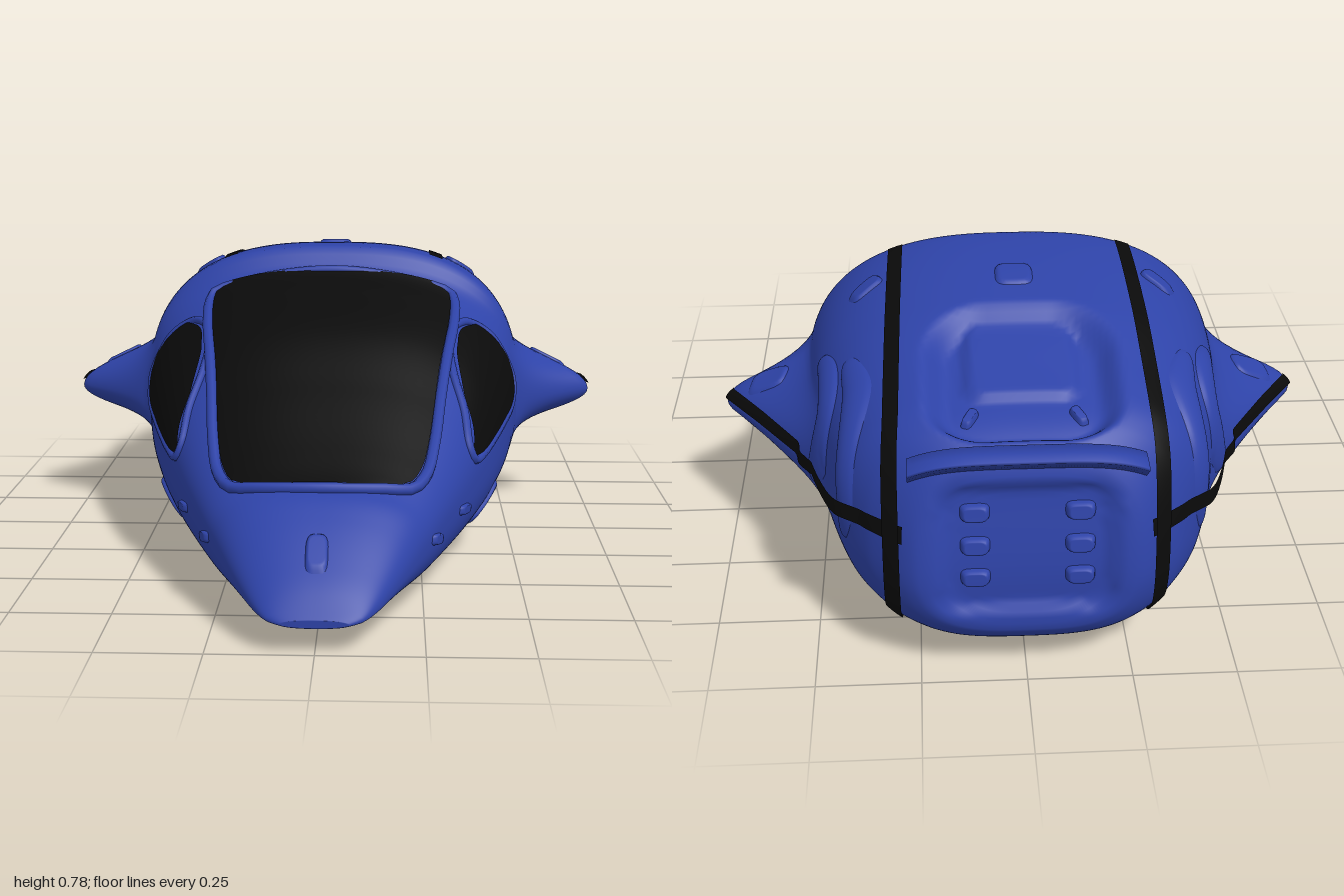
import * as THREE from 'three';
import { mergeVertices } from 'three/addons/utils/BufferGeometryUtils.js';

const blue = new THREE.MeshStandardMaterial({ color: 0x2e43a8, side: THREE.DoubleSide });
const black = new THREE.MeshStandardMaterial({ color: 0x0a0a0a, side: THREE.DoubleSide });
const { lerp, clamp, smoothstep } = THREE.MathUtils;

// Smooth monotone curve through [key, value] pairs, keys ascending
function curve(pts, linear = false) {
  const n = pts.length;
  const d = pts.slice(1).map((p, i) => (p[1] - pts[i][1]) / (p[0] - pts[i][0]));
  const m = pts.map((_, i) => i === 0 ? d[0] : i === n - 1 ? d[n - 2]
    : d[i - 1] * d[i] <= 0 ? 0 : 2 * d[i - 1] * d[i] / (d[i - 1] + d[i]));
  return k => {
    k = clamp(k, pts[0][0], pts[n - 1][0]);
    let i = 0;
    while (i < n - 2 && k > pts[i + 1][0]) i++;
    const h = pts[i + 1][0] - pts[i][0], t = (k - pts[i][0]) / h, a = pts[i][1], b = pts[i + 1][1];
    if (linear) return lerp(a, b, t);
    const s = t * t * (3 - 2 * t);
    return a + (b - a) * s + h * (m[i] * t * (1 - t) ** 2 - m[i + 1] * t * t * (1 - t));
  };
}

// Hull profiles along z: half width, roof, belly, widest height, squareness
const width = curve([[-1, .25], [-0.99, .272], [-0.97, .3], [-0.94, .333], [-0.9, .37], [-0.8, .43], [-0.6, .487],
  [-0.4, .525], [-0.2, .537], [0, .51], [.2, .46], [.4, .393], [.6, .312], [.8, .222], [.9, .17], [.95, .14], [.985, .11], [1, .08]]);
const roof = curve([[-1, .545], [-0.99, .58], [-0.97, .606], [-0.9, .645], [-0.7, .705], [-0.5, .755], [-0.2, .785], [-0.165, .783],
  [-0.13, .735], [-0.1, .71], [0, .67], [.2, .59], [.4, .475], [.6, .36], [.7, .31], [.74, .296], [.8, .26], [.9, .185], [.95, .142], [1, .085]]);
const belly = curve([[-1, .15], [-0.98, .12], [-0.95, .092], [-0.9, .07], [-0.7, .033], [-0.4, .008], [0, .002], [.5, .014],
  [.65, .022], [.9, .06], [1, .065]]);
const middle = curve([[-1, .34], [-0.5, .365], [-0.2, .355], [0, .32], [.2, .28], [.6, .2], [.8, .145], [1, .075]]);
const power = curve([[-1, 3], [-0.7, 2.75], [-0.2, 2.65], [0, 2.5], [.6, 2.5], [1, 2.2]]);
const finEdge = curve([[-0.78, 0], [-0.66, .475], [-0.4, .655], [-0.27, .75], [-0.25, .75], [-0.11, .54], [-0.04, 0]], true);

const roundRect = (x, y, hx, hy, r) => {
  const a = Math.abs(x) - hx + r, b = Math.abs(y) - hy + r;
  return Math.hypot(Math.max(a, 0), Math.max(b, 0)) + Math.min(Math.max(a, b), 0) - r;
};
// Rear deck hollow with a raised square in it, slanted tail, dished tail panel, side fin
const hollow = (x, z) => .055 * smoothstep(-roundRect(x, z + .735, .24, .235, .16), 0, .07)
  - .016 * smoothstep(-roundRect(x, z + .66, .14, .12, .05), 0, .02);
const slant = (y, z) => z + .045 * smoothstep(y, .25, .6) * smoothstep(-z, .8, 1);
const dish = (x, y) => .02 * smoothstep(-roundRect(x, y - .36, .21, .17, .07), 0, .03);
const finReach = z => Math.max(0, finEdge(z) - width(z));
const fin = (y, z) => {
  const d = (y - .355) / (y > .355 ? .16 : .12);
  return Math.abs(d) < 1 ? finReach(z) * (1 - d * d) ** 2 : 0;
};
const bow = (t, n) => Math.max(0, 1 - Math.abs(t) ** n) ** (1 / n);

// Points on the hull, lifted by h
const onTop = (x, z, h = 0) => {
  const y = middle(z) + (roof(z) - middle(z)) * bow(x / width(z), power(z)) - hollow(x, z);
  return [x, y + h, slant(y, z)];
};
const onBelly = (x, z, h = 0) => {
  const y = middle(z) - (middle(z) - belly(z)) * bow(x / width(z), power(z));
  return [x, y - h, slant(y, z)];
};
const onSide = s => (z, y, h = 0) => {
  const m = middle(z), t = (y - m) / (y > m ? roof(z) - m : m - belly(z));
  return [s * (width(z) * bow(t, power(z)) + fin(y, z) + h), y + h * t * .6, slant(y, z)];
};
const onTail = (x, y, h = 0) => [x, y, slant(y, -1) + dish(x, y) - h];
const onFin = (x, z, h = 0) => {
  const f = clamp((Math.abs(x) - width(z)) / Math.max(finReach(z), .001), 0, 1);
  return [x, .355 + .16 * Math.sqrt(1 - Math.sqrt(f)) + h, z];
};

// Smooth sheet from a rule (u, v) => [x, y, z]
function sheet(name, material, nu, nv, rule) {
  const g = new THREE.PlaneGeometry(1, 1, nu, nv), p = g.attributes.position;
  for (let j = 0, k = 0; j <= nv; j++) for (let i = 0; i <= nu; i++) p.setXYZ(k++, ...rule(i / nu, j / nv));
  g.deleteAttribute('uv');
  g.deleteAttribute('normal');
  const merged = mergeVertices(g, 1e-5);
  merged.computeVertexNormals();
  const mesh = new THREE.Mesh(merged, material);
  mesh.name = name;
  return mesh;
}

// Rounded pad laid on a surface: centre, half sizes, turn, height
function pad(name, on, a, b, ha, hb, turn = 0, height = .01) {
  return sheet(name, blue, 32, 8, (u, v) => {
    const t = u * Math.PI * 2, c = Math.cos(t), s = Math.sin(t), k = v / (c ** 4 + s ** 4) ** .25;
    const x = ha * c * k, y = hb * s * k;
    return on(a + x * Math.cos(turn) - y * Math.sin(turn), b + x * Math.sin(turn) + y * Math.cos(turn),
      v > .99 ? -.006 : height * Math.min(1, (1 - v) * 4));
  });
}

// Raised rim following an outline on a surface
function rim(name, points, radius) {
  const path = new THREE.CatmullRomCurve3(points.map(p => new THREE.Vector3(...p)), true);
  const mesh = new THREE.Mesh(new THREE.TubeGeometry(path, 90, radius, 8, true), blue);
  mesh.name = name;
  return mesh;
}

// Flat-topped rib along a path of [z, y] on one side
function rib(name, on, pts, half, height) {
  const path = new THREE.CatmullRomCurve3(pts.map(p => new THREE.Vector3(p[0], p[1], 0)));
  return sheet(name, blue, 14, 44, (u, v) => {
    const p = path.getPoint(v), t = path.getTangent(v), e = Math.sin(Math.PI * clamp(v, .002, .998)) ** .3;
    const w = (u - .5) * 2 * half * e;
    return on(p.x - t.y * w, p.y + t.x * w, height * e * Math.max(0, Math.sin(Math.PI * u)) ** .5 - .006);
  });
}

export function createModel() {
  const model = new THREE.Group();

  // Hull: sections from nose to tail, closed at both ends
  const rows = 190, cap = 12;
  model.add(sheet('hull', blue, 224, rows, (u, v) => {
    const r = Math.round(v * rows), s = clamp((r - cap) / (rows - 2 * cap), 0, 1);
    const scale = Math.min(1, r / cap, (rows - r) / cap);
    const z = lerp(1 - 2 * s, Math.cos(Math.PI * s), .4);
    const t = (u === 1 ? 0 : u) * 2 * Math.PI - Math.PI / 2, c = Math.cos(t), q = Math.sin(t), n = power(z), m = middle(z);
    const k = scale / (Math.abs(c) ** n + Math.abs(q) ** n) ** (1 / n);
    let x = width(z) * c * k, y = m + (q > 0 ? roof(z) - m : m - belly(z)) * q * k;
    if (scale === 1) x += Math.sign(c) * fin(y, z);
    if (q > 0 && s < 1) y -= hollow(x, z);
    return [x, y, slant(y, z) + (s === 1 ? dish(x, y) : 0)];
  }));

  // Windscreen and its frame
  const screen = curve([[-0.105, .29], [-0.09, .325], [-0.05, .332], [.3, .29], [.55, .256], [.64, .225], [.68, .175], [.7, .1]]);
  model.add(sheet('windscreen', black, 24, 48, (u, v) => {
    const z = lerp(.7, -.105, v);
    return onTop((u * 2 - 1) * screen(z), z, .012);
  }));
  const edge = [.69, .66, .6, .5, .35, .2, .05, -.06, -.095];
  const screenEdge = s => edge.map(z => onTop(s * (screen(z) + .012), z, .003));
  model.add(rim('windscreenFrame', [...screenEdge(1), onTop(0, -.112, .003), ...screenEdge(-1).reverse(), onTop(0, .712, .003)], .015));

  // Thin lip over the tail, drooping towards its ends
  const lip = [[-0.91, -.03], [-0.935, .004], [-0.97, .004], [-1, 0], [-0.995, -.01], [-0.95, -.05], [-0.91, -.03]];
  model.add(sheet('tailLip', blue, 40, lip.length - 1, (u, v) => {
    const x = (u * 2 - 1) * .27, [z, d] = lip[Math.round(v * (lip.length - 1))], b = (x / .27) ** 4;
    return [x, .609 + d - .04 * b, z + .02 * b];
  }));

  // Small panels on the centre line
  model.add(pad('roofHatch', onTop, 0, -.39, .05, .05, 0, .008));
  model.add(pad('noseLatch', onTop, 0, .88, .028, .045, 0, .01));
  model.add(pad('chinPanel', onBelly, 0, .57, .08, .045, 0, .008));
  model.add(pad('bellyPanel', onBelly, 0, -.78, .07, .045, 0, .008));

  const high = curve([[-0.04, .5], [-0.03, .565], [-0.01, .583], [.03, .584], [.15, .548], [.3, .45], [.38, .36], [.42, .325]]);
  const low = curve([[-0.04, .48], [-0.03, .425], [.02, .382], [.2, .345], [.38, .314], [.42, .315]]);
  const windowKeys = [.41, .34, .25, .15, .05, -.01, -.035];

  for (const s of [1, -1]) {
    const side = onSide(s), label = s > 0 ? 'left' : 'right';

    // Side window and frame
    model.add(sheet(label + 'Window', black, 14, 40, (u, v) => {
      const z = lerp(.42, -.04, v);
      return side(z, lerp(low(z), high(z), u), .008);
    }));
    model.add(rim(label + 'WindowFrame', [...windowKeys.map(z => side(z, high(z) + .008, 0)),
      ...windowKeys.map(z => side(z, low(z) - .008, 0)).reverse()], .012));

    // Stripe hoop over roof, tail corner and belly
    const tailEnd = x => {
      let a = -1, b = -.8;
      for (let i = 0; i < 30; i++) { const c = (a + b) / 2; if (width(c) < x) a = c; else b = c; }
      return b;
    };
    model.add(sheet(label + 'Hoop', black, 6, 160, (u, v) => {
      const x = lerp(.276, .313, u) + .014 * Math.sin(Math.PI * v), end = tailEnd(x);
      const z = lerp(end, -.175, 1 - Math.sin(Math.PI * v));
      const p = v < .5 ? onTop(s * x, z) : onBelly(s * x, z);
      const m = middle(z), back = smoothstep(-z, .8, .95);
      return [p[0] * (1 + .012 * back), m + (p[1] - m) * 1.014, p[2] - .006 * back];
    }));

    // Stripe from fin tip to tail
    model.add(sheet(label + 'Stripe', black, 8, 90, (u, v) => {
      const z = lerp(-.262, -.985, v);
      return side(z, lerp(.382, .4, v) + (u - .5) * lerp(.026, .042, v), .007 + .026 * smoothstep(v, .4, .5) * smoothstep(1 - v, .12, .2));
    }));

    // Curved side ribs
    model.add(rib(label + 'FrontRib', side, [[-.45, .575], [-.54, .575], [-.615, .53], [-.64, .43], [-.615, .32]], .043, .026));
    model.add(rib(label + 'RearRib', side, [[-.56, .635], [-.69, .605], [-.785, .53], [-.825, .41], [-.805, .29]], .038, .024));

    // Fin panel, deck details and side intakes
    model.add(pad(label + 'FinPanel', onFin, s * .635, -.3, .055, .038, s * .3, .006));
    model.add(pad(label + 'ShoulderVent', onTop, s * .37, -.33, .045, .028, -s * .5, .01));
    model.add(pad(label + 'DeckStud', onTop, s * .125, -.825, .014, .03, s * .5, .014));
    model.add(pad(label + 'NoseVent', side, .675, .175, .026, .015, .2, .01));
    model.add(pad(label + 'CheekVent', side, .5, .2, .033, .014, .1, .01));
    model.add(pad(label + 'SideScoop', side, .23, .14, .075, .022, -.65, .01));
    model.add(pad(label + 'FlankVent', side, -.42, .21, .05, .016, .3, .01));
    model.add(pad(label + 'BellyPad', onBelly, s * .36, -.43, .045, .07, 0, .01));
    for (const y of [.29, .37, .45]) model.add(pad(label + 'TailVent', onTail, s * .12, y, .036, .022, 0, .016));
  }
  return model;
}
